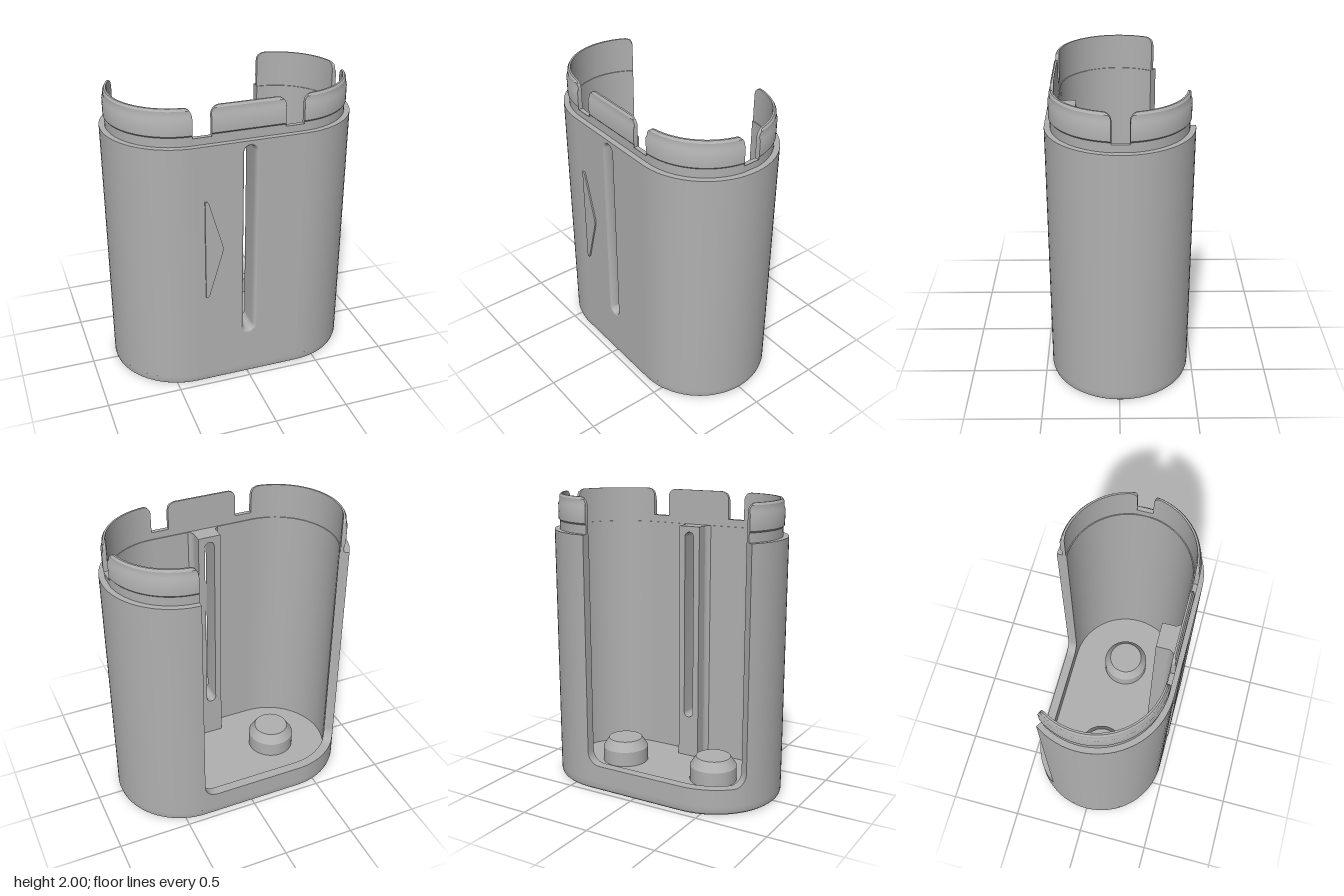
import * as THREE from 'three';
import { toCreasedNormals } from 'three/addons/utils/BufferGeometryUtils.js';

const R = 0.467, R_IN = 0.402, HALF = 0.363;      // oval body: end radius, inner radius, half straight
const ARC = Math.PI * R;
const A = HALF, B = A + ARC, C = B + 2 * HALF, D = C + ARC, LEN = D + HALF;
const OPEN_END = C + 0.96 * R;                    // rear opening runs from B to here
const FLOOR = 0.06, RIM = 1.76, SILL = 0.18;

// Point on the oval at distance s from the front centre, offset to radius r
function ovalPoint(s, r, y) {
  s = ((s % LEN) + LEN) % LEN;
  const arc = (cx, a) => [cx + r * Math.sin(a), y, r * Math.cos(a)];
  if (s <= A) return [s, y, r];
  if (s < B) return arc(HALF, (s - A) / R);
  if (s <= C) return [HALF - (s - B), y, -r];
  if (s < D) return arc(-HALF, Math.PI + (s - C) / R);
  return [s - LEN, y, r];
}

function fromTriangles(pos) {
  const g = new THREE.BufferGeometry();
  g.setAttribute('position', new THREE.Float32BufferAttribute(pos, 3));
  return toCreasedNormals(g, 0.5);
}

function addTriangle(pos, a, b, c) {
  const v = [a, b, c].map(p => new THREE.Vector3(...p));
  const area = v[1].clone().sub(v[0]).cross(v[2].clone().sub(v[0])).length();
  if (area > 1e-9) pos.push(...a, ...b, ...c);
}

// Joins rows of points into a skin
function addSkin(pos, rows) {
  for (let i = 0; i + 1 < rows.length; i++) {
    const p = rows[i], q = rows[i + 1], n = p.length;
    for (let j = 0; j < n; j++) {
      const k = (j + 1) % n;
      addTriangle(pos, p[j], q[j], q[k]);
      addTriangle(pos, p[j], q[k], p[k]);
    }
  }
}

// Sweeps an [r, y] profile round the oval; each station limits the height
function sweep(stations, profile) {
  const rows = stations.map(([s, top]) => profile.map(([r, y]) => ovalPoint(s, r, Math.min(y, top))));
  const pos = [];
  addSkin(pos, rows);
  const first = rows[0], last = rows[rows.length - 1];
  for (let j = 1; j + 1 < first.length; j++) {
    addTriangle(pos, first[0], first[j], first[j + 1]);
    addTriangle(pos, last[0], last[j + 1], last[j]);
  }
  return fromTriangles(pos);
}

// Stations from s0 to s1, denser in the rounded corners of radius r
function span(s0, s1, r, height) {
  const cuts = [];
  for (let i = 0; i <= 6; i++) cuts.push(r * (1 - Math.cos(i / 6 * Math.PI / 2)));
  const n = Math.max(2, Math.ceil((s1 - s0) / 0.04));
  const list = cuts.map(c => s0 + c);
  for (let i = 1; i < n; i++) list.push(s0 + r + (s1 - s0 - 2 * r) * i / n);
  list.push(...cuts.reverse().map(c => s1 - c));
  return list.map(s => {
    const d = Math.max(0, Math.min(s - s0, s1 - s));
    const drop = d < r ? r - Math.sqrt(Math.max(0, r * r - (r - d) ** 2)) : 0;
    return [s, height(drop)];
  });
}

// Upright slot outline with round ends
const SLOT_LOW = 0.395, SLOT_HIGH = 1.685;
function slotPoints(half) {
  const pts = [], n = 10;
  for (let i = 0; i <= n; i++) {
    const a = Math.PI * i / n;
    pts.push(new THREE.Vector2(half * Math.cos(a), SLOT_HIGH + half * Math.sin(a)));
  }
  for (let i = 0; i <= n; i++) {
    const a = Math.PI * (1 + i / n);
    pts.push(new THREE.Vector2(half * Math.cos(a), SLOT_LOW + half * Math.sin(a)));
  }
  return pts;
}

function slottedPlate(halfWidth, slotHalf, z0, z1) {
  const shape = new THREE.Shape([[-1, FLOOR], [1, FLOOR], [1, RIM], [-1, RIM]]
    .map(([x, y]) => new THREE.Vector2(x * halfWidth, y)));
  shape.holes.push(new THREE.Path(slotPoints(slotHalf)));
  const g = new THREE.ExtrudeGeometry(shape, { depth: z1 - z0, bevelEnabled: false });
  g.translate(0, 0, z0);
  return toCreasedNormals(g, 0.5);
}

export function createModel() {
  const model = new THREE.Group();
  model.name = 'slottedCase';
  const grey = new THREE.MeshStandardMaterial({ color: 0xb0b0b0 });
  grey.name = 'grey plastic';
  const body = new THREE.Group();
  body.name = 'caseBody';
  body.position.z = -0.005;
  model.add(body);
  const add = (name, geometry) => {
    const mesh = new THREE.Mesh(geometry, grey);
    mesh.name = name;
    body.add(mesh);
    return mesh;
  };

  // Base plate with rounded lower edge
  add('base', sweep(span(0, LEN, 0, () => 9), [
    [0, 0], [0.44, 0], [0.452, 0.003], [0.462, 0.012], [R, 0.03], [R, FLOOR], [0, FLOOR]]));

  // Curved wall, dropping to a low sill with rounded corners at the rear opening
  add('wall', sweep([
    ...span(A, B, 0, () => RIM),
    ...span(B, OPEN_END, 0.09, drop => SILL + drop),
    ...span(OPEN_END, D, 0, () => RIM)],
  [[R_IN, FLOOR], [R, FLOOR], [R, RIM], [R_IN, RIM]]));

  // Flat front wall and the inner rib, both pierced by the slot
  add('frontWall', slottedPlate(HALF, 0.055, R_IN, R));
  add('slotRib', slottedPlate(0.08, 0.035, 0.285, 0.425));

  // Rounded flare from the slot to the front face
  const rows = [];
  for (let k = 0; k <= 5; k++) {
    const a = k / 5 * Math.PI / 2;
    rows.push(slotPoints(0.035 + 0.02 * (1 - Math.cos(a)))
      .map(p => [p.x, p.y, 0.425 + 0.042 * Math.sin(a)]));
  }
  const flare = [];
  addSkin(flare, rows);
  add('slotFlare', fromTriangles(flare));

  // Fillets where the rib meets the front wall
  for (const side of [1, -1]) {
    const shape = new THREE.Shape([[0.078, 0.36], [0.082, 0.375], [0.092, 0.392], [0.11, 0.404], [0.078, 0.404]]
      .map(([x, z]) => new THREE.Vector2(side * x, -z)));
    const g = new THREE.ExtrudeGeometry(shape, { depth: RIM - FLOOR, bevelEnabled: false });
    g.rotateX(-Math.PI / 2);
    g.translate(0, FLOOR, 0);
    add('ribFillet', toCreasedNormals(g, 0.6));
  }

  // Snap collar: tabs with rounded corners, joined by a low ring
  const sideGap = A + ARC / 2;
  const tabs = [[OPEN_END, LEN - 0.36], [LEN - 0.24, LEN + 0.24],
    [LEN + 0.36, LEN + sideGap - 0.06], [LEN + sideGap + 0.06, LEN + B]];
  const stations = [];
  tabs.forEach(([s0, s1], i) => {
    if (i) stations.push([tabs[i - 1][1], 1.81], [s0, 1.81]);
    stations.push(...span(s0, s1, 0.055, drop => 2 - drop));
  });
  add('collar', sweep(stations, [
    [0.408, 1.75], [0.43, 1.75], [0.43, 1.82], [0.438, 1.83], [0.438, 1.935],
    [0.43, 1.95], [0.429, 1.985], [0.42, 2], [0.408, 2]]));

  // Two chamfered posts on the floor
  for (const side of [1, -1]) {
    const profile = [[0.1625, FLOOR - 0.01], [0.1625, 0.165], [0.12, 0.23], [0, 0.23]]
      .map(([r, y]) => new THREE.Vector2(r, y));
    const post = add('post', toCreasedNormals(new THREE.LatheGeometry(profile, 48), 0.5));
    post.position.x = side * HALF;
  }

  // Raised pointer beside the slot
  const arrow = new THREE.Shape();
  arrow.moveTo(-0.3, 0.69);
  arrow.lineTo(-0.286, 0.69);
  arrow.quadraticCurveTo(-0.277, 0.692, -0.273, 0.71);
  arrow.lineTo(-0.186, 1.01);
  arrow.quadraticCurveTo(-0.178, 1.04, -0.186, 1.07);
  arrow.lineTo(-0.273, 1.37);
  arrow.quadraticCurveTo(-0.277, 1.388, -0.286, 1.39);
  arrow.lineTo(-0.3, 1.39);
  const arrowGeometry = new THREE.ExtrudeGeometry(arrow, { depth: 0.012, bevelEnabled: false });
  arrowGeometry.translate(0, 0, R - 0.002);
  add('pointer', arrowGeometry);

  return model;
}
